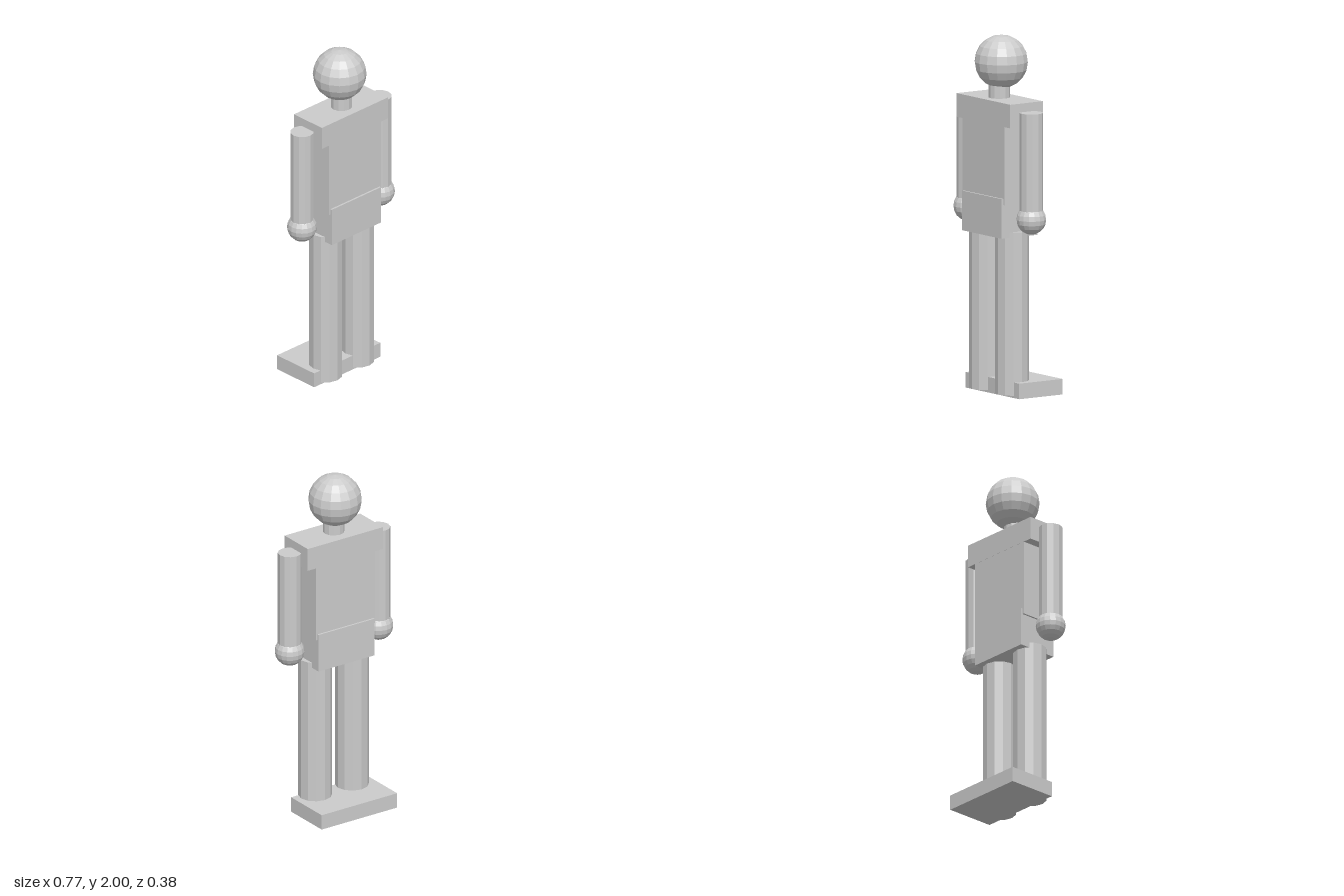
import * as THREE from 'three';

export function createModel() {
  const model = new THREE.Group();
  model.name = 'figure';
  const material = new THREE.MeshStandardMaterial({ color: 0xcccccc, flatShading: true });

  function add(name, geometry, x, y, z) {
    const mesh = new THREE.Mesh(geometry, material);
    mesh.name = name;
    mesh.position.set(x, y, z);
    model.add(mesh);
  }

  // Block from its half width and its y and z limits
  function block(name, halfWidth, y0, y1, z0, z1) {
    add(name, new THREE.BoxGeometry(halfWidth * 2, y1 - y0, z1 - z0), 0, (y0 + y1) / 2, (z0 + z1) / 2);
  }

  // Upright faceted cylinder between two heights
  function post(name, radius, x, y0, y1, z) {
    add(name, new THREE.CylinderGeometry(radius, radius, y1 - y0, 12), x, (y0 + y1) / 2, z);
  }

  function ball(name, radius, x, y, z) {
    add(name, new THREE.SphereGeometry(radius, 16, 10), x, y, z);
  }

  // Head and neck
  ball('head', 0.149, 0, 1.851, 0.042);
  post('neck', 0.06, 0, 1.6, 1.76, 0.056);

  // Body: wide shoulders over a narrower torso and a slightly deeper pelvis
  block('shoulders', 0.255, 1.52, 1.652, -0.058, 0.163);
  block('torso', 0.2, 1.083, 1.6, -0.057, 0.163);
  block('pelvis', 0.189, 0.895, 1.117, -0.068, 0.174);

  // Limbs
  for (const [side, s] of [['left', 1], ['right', -1]]) {
    post(side + 'Arm', 0.066, s * 0.3, 1.03, 1.603, 0.052);
    ball(side + 'Hand', 0.083, s * 0.3, 1.006, 0.052);
    post(side + 'Leg', 0.094, s * 0.124, 0.013, 0.925, 0.057);
  }

  // Single slab shared by both feet, extending to the rear
  block('footSlab', 0.255, 0, 0.087, -0.192, 0.102);

  return model;
}
